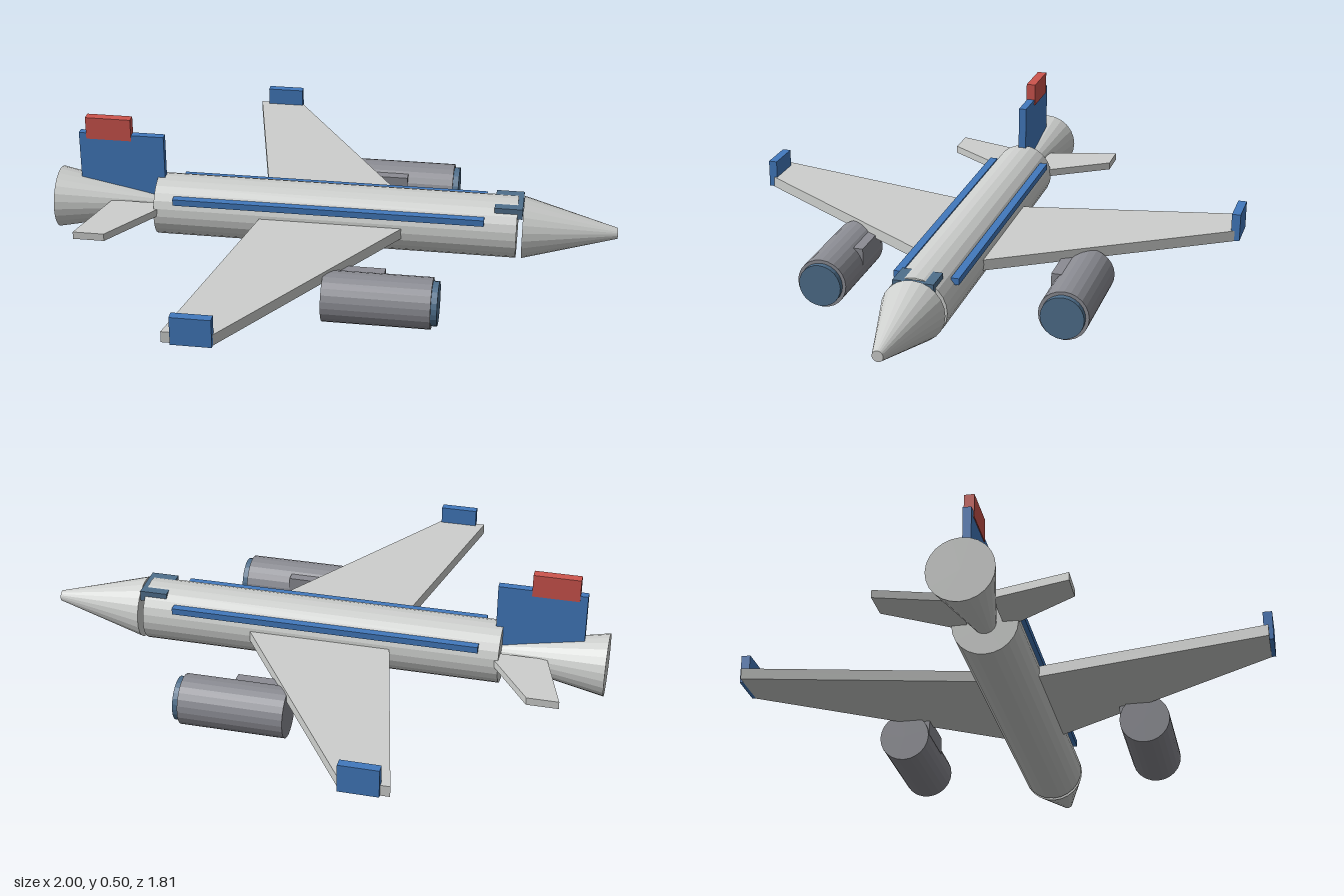
import * as THREE from 'three';

const mat = (name, color) => {
  const m = new THREE.MeshStandardMaterial({ color, flatShading: true });
  m.name = name;
  return m;
};

export function createModel() {
  const hull = mat('light grey', 0xcdcfcd);
  const engineGrey = mat('engine grey', 0x8b8c93);
  const blue = mat('blue', 0x4279bd);
  const red = mat('red', 0xcc544d);
  const glass = mat('slate blue', 0x4f6f8c);
  const group = new THREE.Group();

  const add = (name, geometry, material) => {
    const mesh = new THREE.Mesh(geometry, material);
    mesh.name = name;
    group.add(mesh);
    return mesh;
  };
  // Box given by its min and max on each axis
  const box = (name, material, [x0, x1], [y0, y1], [z0, z1]) =>
    add(name, new THREE.BoxGeometry(x1 - x0, y1 - y0, z1 - z0), material)
      .position.set((x0 + x1) / 2, (y0 + y1) / 2, (z0 + z1) / 2);
  // Round section along x, with a radius at each end
  const tube = (name, material, [x0, x1], [r0, r1], y, z = 0) => {
    const g = new THREE.CylinderGeometry(r1, r0, x1 - x0, 24).rotateZ(-Math.PI / 2);
    add(name, g, material).position.set((x0 + x1) / 2, y, z);
  };
  // Flat plate from an outline of [x, z] points, mirrored by side
  const plate = (name, material, outline, [y0, y1], side) => {
    const shape = new THREE.Shape(outline.map(([x, z]) => new THREE.Vector2(x, -z * side)));
    const g = new THREE.ExtrudeGeometry(shape, { depth: y1 - y0, bevelEnabled: false });
    add(name, g.rotateX(-Math.PI / 2), material).position.y = y0;
  };

  // Body
  const axis = 0.17;
  tube('fuselage', hull, [-0.635, 0.65], [0.11, 0.11], axis);
  tube('noseCone', hull, [0.67, 1], [0.11, 0.019], axis);
  tube('tailCone', hull, [-1, -0.6], [0.11, 0.031], axis);
  box('cockpitWindow', glass, [0.57, 0.668], [0.235, 0.273], [-0.07, 0.07]);

  // Tail fin
  box('tailFin', blue, [-0.917, -0.61], [0.19, 0.436], [-0.014, 0.014]);
  box('finTip', red, [-0.89, -0.727], [0.415, 0.497], [-0.017, 0.017]);

  for (const side of [1, -1]) {
    const span = (a, b) => (side > 0 ? [a, b] : [-b, -a]);
    const label = side > 0 ? 'left' : 'right';

    // Wings and tailplane
    plate(label + 'Wing', hull,
      [[-0.25, 0.09], [0.262, 0.09], [-0.26, 0.89], [-0.424, 0.89]], [0.148, 0.187], side);
    box(label + 'Winglet', blue, [-0.392, -0.257], [0.15, 0.25], span(0.873, 0.904));
    plate(label + 'Tailplane', hull,
      [[-0.798, 0.058], [-0.588, 0.058], [-0.762, 0.312], [-0.872, 0.312]], [0.17, 0.197], side);

    // Side stripe
    box(label + 'Stripe', blue, [-0.563, 0.537], [0.22, 0.243], span(0.085, 0.113));

    // Engine with intake and pylon
    tube(label + 'Engine', engineGrey, [0.025, 0.393], [0.088, 0.088], 0.088, side * 0.43);
    tube(label + 'Intake', glass, [0.38, 0.414], [0.076, 0.076], 0.088, side * 0.43);
    box(label + 'Pylon', engineGrey, [0.04, 0.225], [0.095, 0.158], span(0.342, 0.41));
  }
  return group;
}
